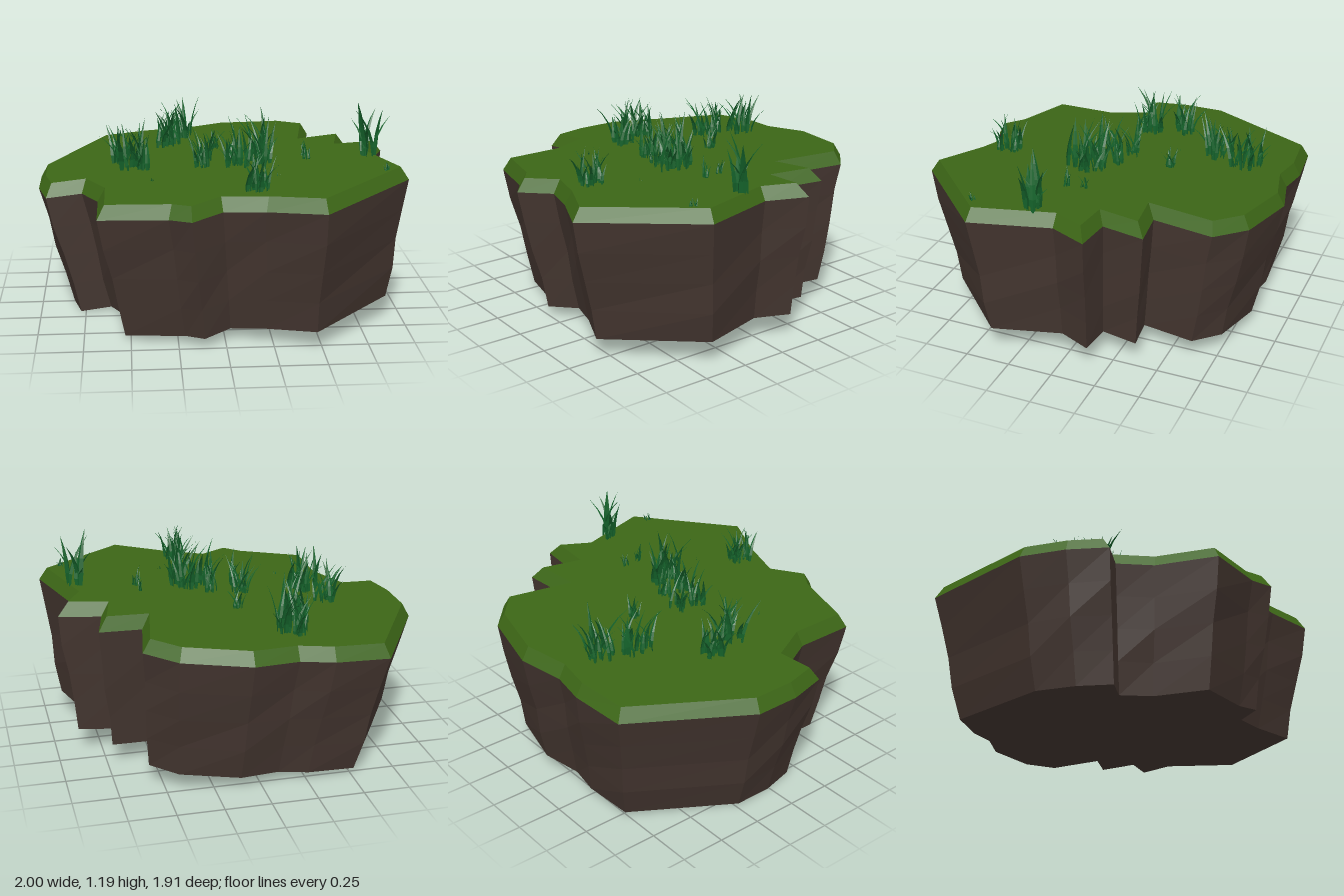
import * as THREE from 'three';
import { mergeGeometries } from 'three/addons/utils/BufferGeometryUtils.js';

// Coastline of the island (x, z), clockwise seen from above
const OUTLINE = [
  [-0.655, -0.89], [-0.35, -0.925], [-0.165, -0.9], [0.085, -0.96], [0.45, -0.88], [0.61, -0.735],
  [0.55, -0.395], [0.785, -0.43], [0.735, -0.19], [0.965, -0.18], [0.865, 0.03], [0.995, 0.46],
  [0.49, 0.95], [0.195, 0.815], [-0.02, 0.75], [-0.185, 0.88], [-0.3, 0.8], [-0.665, 0.7],
  [-0.665, 0.36], [-0.755, 0.175], [-0.95, 0.205], [-1, -0.01], [-1, -0.26],
];
const SLOPE = 0.072;
const topY = (x) => 0.824 + SLOPE * x;
const rimY = (x) => 0.752 + SLOPE * x;
const baseY = (x) => Math.max(0, 0.07 + 0.078 * x);

let seed = 7;
const rand = () => (seed = (seed * 16807) % 2147483647) / 2147483647;
const range = (a, b) => a + (b - a) * rand();

const material = (color, side = THREE.FrontSide) =>
  new THREE.MeshStandardMaterial({ color, side, flatShading: true, roughness: 1 });

function geometryFrom(positions) {
  const g = new THREE.BufferGeometry();
  g.setAttribute('position', new THREE.Float32BufferAttribute(positions, 3));
  g.computeVertexNormals();
  return g;
}

// Mitred inward offset of the coastline
function inset(points, d) {
  const n = points.length;
  const normal = (a, b) => new THREE.Vector2(a[1] - b[1], b[0] - a[0]).normalize();
  return points.map((p, i) => {
    const n1 = normal(points[(i + n - 1) % n], p);
    const n2 = normal(p, points[(i + 1) % n]);
    const m = n1.clone().add(n2).multiplyScalar(d / Math.max(0.45, 1 + n1.dot(n2)));
    return [p[0] + m.x, p[1] + m.y];
  });
}

// Outward-facing wall between two closed rings
function wall(lower, upper) {
  const out = [];
  lower.forEach((la, i) => {
    const j = (i + 1) % lower.length;
    out.push(...lower[j], ...la, ...upper[i], ...lower[j], ...upper[i], ...upper[j]);
  });
  return out;
}

// Flat lid over a closed ring, facing up or down
function cap(ring, up) {
  const flat = ring.map((p) => new THREE.Vector2(p[0], p[2]));
  const out = [];
  for (const [a, b, c] of THREE.ShapeUtils.triangulateShape(flat, [])) {
    const ab = flat[b].clone().sub(flat[a]);
    const ac = flat[c].clone().sub(flat[a]);
    const facesUp = ab.y * ac.x - ab.x * ac.y > 0;
    for (const k of facesUp === up ? [a, b, c] : [a, c, b]) out.push(...ring[k]);
  }
  return out;
}

// One folded, tapering blade that bends over along +z
function blade(height, width, bend) {
  const widths = [0.6, 1, 0.8, 0.45, 0];
  const rows = widths.map((w, i) => {
    const t = i / (widths.length - 1);
    const y = height * t * (1 - 0.12 * bend * t);
    const z = height * bend * t * t;
    const half = (w * width) / 2;
    return [[-half, y, z], [0, y, z - half * 0.6], [half, y, z]];
  });
  const out = [];
  for (let i = 0; i < rows.length - 1; i++) {
    const [p, q] = [rows[i], rows[i + 1]];
    for (let k = 0; k < 2; k++) {
      out.push(...p[k], ...p[k + 1], ...q[k + 1]);
      if (i < rows.length - 2) out.push(...p[k], ...q[k + 1], ...q[k]);
    }
  }
  return geometryFrom(out);
}

function tuft({ x, z, count, height, spread, width }) {
  const blades = [];
  for (let i = 0; i < count; i++) {
    const angle = rand() * Math.PI * 2;
    const r = spread * Math.sqrt(rand());
    const bx = x + Math.cos(angle) * r;
    const bz = z + Math.sin(angle) * r;
    const h = height * (i === 0 ? 1 : range(0.4, 0.95));
    const g = blade(h, width * range(0.7, 1.1), i === 0 ? 0.2 : range(0.15, 0.55));
    g.rotateY(rand() * Math.PI * 2);
    g.translate(bx, topY(bx) - 0.01, bz);
    blades.push(g);
  }
  return mergeGeometries(blades);
}

export function createModel() {
  const group = new THREE.Group();
  const add = (name, geometry, mat) => {
    const mesh = new THREE.Mesh(geometry, mat);
    mesh.name = name;
    group.add(mesh);
  };

  // Earth cliffs: rings narrowing from the turf down to the flat underside
  const levels = [0, 0.25, 0.5, 0.75, 1];
  const rings = levels.map((t, l) => OUTLINE.map(([x, z], i) => {
    const s = 1 - t;
    const wobble = l > 0 && l < 4 ? 0.009 * Math.sin(i * 2.3 + l * 1.9) : 0;
    const px = x * (1 - 0.135 * s + wobble) + 0.045 * s;
    const pz = z * (1 - 0.145 * s + wobble);
    return [px, THREE.MathUtils.lerp(baseY(px), rimY(px), t), pz];
  }));
  const earth = cap(rings[0], false);
  for (let l = 0; l < 4; l++) earth.push(...wall(rings[l], rings[l + 1]));
  add('earthCliff', geometryFrom(earth), material(0x43352f));

  // Turf: bevelled rim and sloping lawn
  const lawn = inset(OUTLINE, 0.04).map(([x, z]) => [x, topY(x), z]);
  add('turf', geometryFrom([...wall(rings[4], lawn), ...cap(lawn, true)]), material(0x3c6616));

  // Grass tufts: x, z, blade count, height, spread, blade width
  const tufts = [
    [-0.2, -0.65, 20, 0.27, 0.09, 0.03], [-0.28, -0.47, 22, 0.27, 0.09, 0.03],
    [-0.52, -0.17, 18, 0.25, 0.07, 0.03], [-0.45, 0.03, 22, 0.3, 0.09, 0.03],
    [-0.07, -0.04, 11, 0.24, 0.05, 0.025], [-0.08, 0.1, 12, 0.22, 0.05, 0.025],
    [0.08, 0, 10, 0.19, 0.04, 0.022], [0.08, 0.13, 12, 0.24, 0.05, 0.025],
    [0.2, 0.13, 30, 0.33, 0.11, 0.034], [0.17, 0.63, 22, 0.22, 0.07, 0.026],
    [0, -0.28, 9, 0.14, 0.03, 0.02], [0.48, 0.03, 6, 0.09, 0.02, 0.014],
    [0.49, 0.12, 7, 0.13, 0.02, 0.018], [0.83, 0.16, 9, 0.33, 0.04, 0.045],
    [0.87, 0.49, 7, 0.06, 0.02, 0.012], [-0.37, 0.3, 4, 0.03, 0.01, 0.008],
    [0.3, 0.41, 4, 0.03, 0.01, 0.008],
  ];
  const green = material(0x14612a, THREE.DoubleSide);
  tufts.forEach(([x, z, count, height, spread, width], i) =>
    add(`grassTuft${i + 1}`, tuft({ x, z, count, height, spread, width }), green));

  return group;
}
